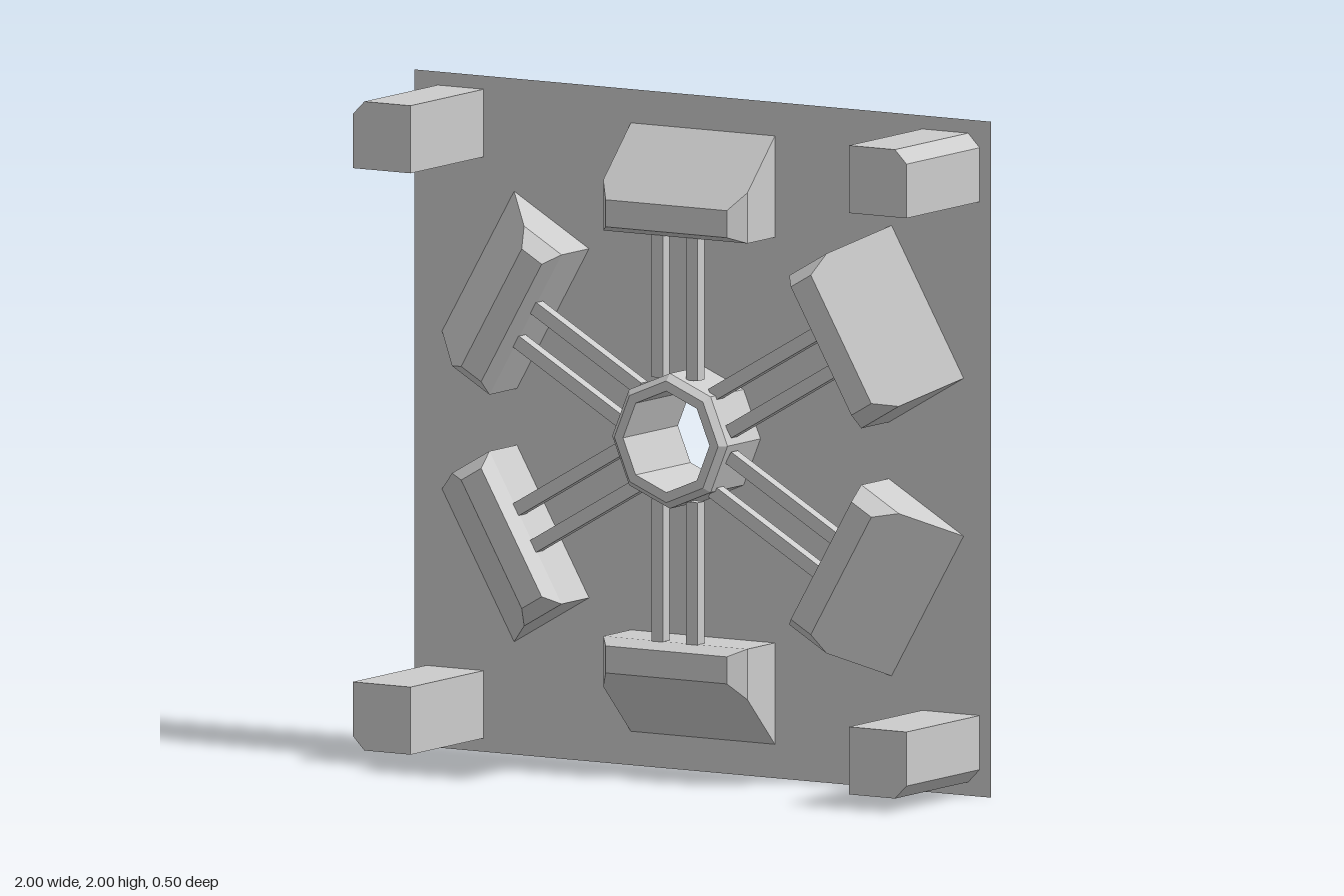
import * as THREE from 'three';

const material = new THREE.MeshStandardMaterial({ color: 0xcccccc, flatShading: true });

function part(name, geometry) {
  const mesh = new THREE.Mesh(geometry, material);
  mesh.name = name;
  return mesh;
}

// Skin stacked rectangles [x half width, y low, y high, z], ordered back to front.
function loft(sections, capped = true) {
  const rings = sections.map(([w, lo, hi, z]) =>
    [[-w, lo, z], [w, lo, z], [w, hi, z], [-w, hi, z]]);
  const pos = [];
  const quad = (a, b, c, d) => pos.push(...a, ...b, ...c, ...a, ...c, ...d);
  for (let i = 0; i < rings.length - 1; i++) {
    const a = rings[i], b = rings[i + 1];
    for (let j = 0; j < 4; j++) {
      const k = (j + 1) % 4;
      quad(a[j], a[k], b[k], b[j]);
    }
  }
  if (capped) {
    quad(...[...rings[0]].reverse());
    quad(...rings[rings.length - 1]);
  }
  const g = new THREE.BufferGeometry();
  g.setAttribute('position', new THREE.Float32BufferAttribute(pos, 3));
  g.computeVertexNormals();
  return g;
}

// Square panel with an octagonal hole
function panel(half) {
  const s = new THREE.Shape([[-1, -1], [1, -1], [1, 1], [-1, 1]]
    .map(([x, y]) => new THREE.Vector2(x * half, y * half)));
  const hole = [];
  for (let i = 0; i < 8; i++) {
    const a = -i * Math.PI / 4;
    hole.push(new THREE.Vector2(0.15 * Math.cos(a), 0.15 * Math.sin(a)));
  }
  s.holes.push(new THREE.Path(hole));
  return new THREE.ShapeGeometry(s);
}

export function createModel() {
  const model = new THREE.Group();
  model.name = 'wallPanel';
  const body = new THREE.Group();
  body.name = 'body';
  body.position.y = 1;
  model.add(body);

  // Back plate with bevelled rim
  const plate = new THREE.Group();
  plate.name = 'backPlate';
  plate.add(part('plateRim', loft([[0.9, -0.9, 0.9, -0.25], [1, -1, 1, -0.15]], false)));
  plate.add(part('plateFront', panel(1).translate(0, 0, -0.15)));
  plate.add(part('plateBack', panel(0.9).rotateY(Math.PI).translate(0, 0, -0.25)));
  body.add(plate);

  // Octagonal hub whose bore runs through the plate
  const profile = [[0.2, -0.15], [0.2, 0.03], [0.18, 0.05], [0.15, 0.05], [0.15, -0.25]]
    .map(([r, y]) => new THREE.Vector2(r, y));
  body.add(part('hub', new THREE.LatheGeometry(profile, 8).rotateX(Math.PI / 2)));

  // Six spokes, each a pair of rods ending in a sloped block
  const block = loft([
    [0.25, 0.6, 0.9, -0.15],
    [0.25, 0.6, 0.75, 0],
    [0.21, 0.62, 0.7, 0.05],
  ]);
  const rod = new THREE.BoxGeometry(0.04, 0.44, 0.036);
  for (let i = 0; i < 6; i++) {
    const spoke = new THREE.Group();
    spoke.name = 'spoke' + (i + 1);
    spoke.add(part('block', block));
    for (const side of [-1, 1]) {
      const r = part(side > 0 ? 'leftRod' : 'rightRod', rod);
      r.position.set(side * 0.06, 0.4, -0.014);
      spoke.add(r);
    }
    spoke.rotation.z = i * Math.PI / 3;
    body.add(spoke);
  }

  // Corner posts, chamfered on the outer corner
  const outline = [[-0.1, -0.1], [0.1, -0.1], [0.1, 0.06], [0.06, 0.1], [-0.1, 0.1]];
  for (const sx of [-1, 1]) {
    for (const sy of [-1, 1]) {
      const shape = new THREE.Shape(outline.map(([x, y]) => new THREE.Vector2(x * sx, y * sy)));
      const post = part((sy > 0 ? 'top' : 'bottom') + (sx > 0 ? 'Left' : 'Right') + 'Post',
        new THREE.ExtrudeGeometry(shape, { depth: 0.4, bevelEnabled: false }));
      post.position.set(sx * 0.86, sy * 0.86, -0.15);
      body.add(post);
    }
  }
  return model;
}
